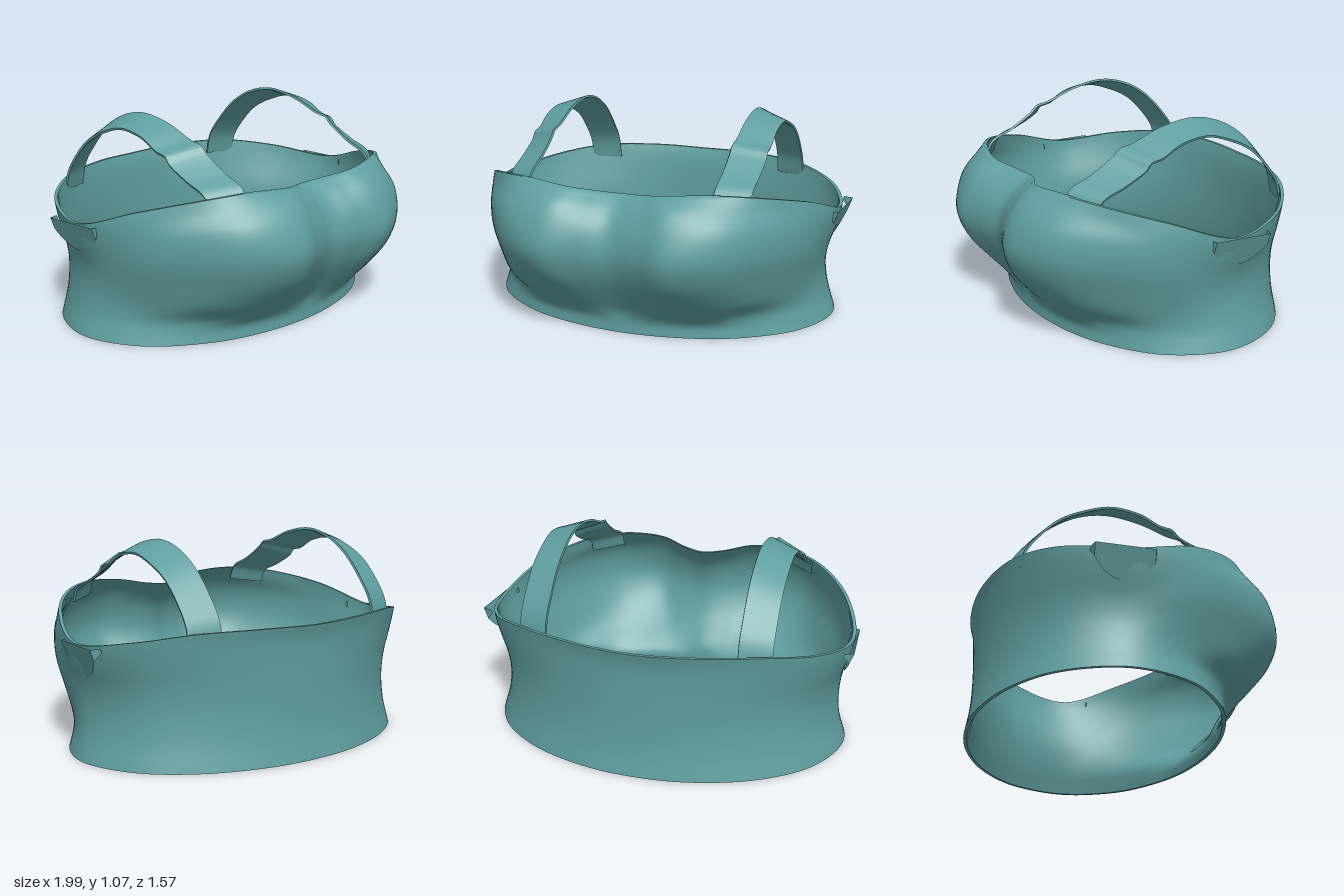
import * as THREE from 'three';
import { toCreasedNormals } from 'three/addons/utils/BufferGeometryUtils.js';

const V = (x, y, z) => new THREE.Vector3(x, y, z);
const CZ = -0.12; // centre of the plan ellipse

// Skin a grid of points: columns[i][j], optionally closed along i and/or j
function skin(columns, closeI, closeJ, crease = 0.9) {
  const n = columns.length, m = columns[0].length, index = [];
  for (let i = 0; i < (closeI ? n : n - 1); i++) {
    for (let j = 0; j < (closeJ ? m : m - 1); j++) {
      const k = (i + 1) % n, l = (j + 1) % m;
      const a = i * m + j, b = k * m + j, c = k * m + l, d = i * m + l;
      index.push(a, b, c, a, c, d);
    }
  }
  const geo = new THREE.BufferGeometry().setFromPoints(columns.flat());
  geo.setIndex(index);
  return toCreasedNormals(geo, crease);
}

// Stations around half the body (degrees from the front) and the rim height at each
const ANGLES = [0, 10, 20, 35, 50, 70, 90, 110, 130, 155, 180];
const RIM = [0.735, 0.745, 0.77, 0.785, 0.765, 0.7, 0.603, 0.64, 0.683, 0.69, 0.685];

// Levels: [fraction of rim height, back scale, radii at the stations from front to side]
const LEVELS = [
  [0, 1.0, [0.66, 0.665, 0.68, 0.725, 0.79, 0.895, 0.95]],
  [0.08, 0.985, [0.66, 0.665, 0.68, 0.725, 0.785, 0.88, 0.935]],
  [0.16, 0.972, [0.67, 0.69, 0.72, 0.775, 0.8, 0.87, 0.92]],
  [0.28, 0.96, [0.72, 0.75, 0.81, 0.86, 0.87, 0.88, 0.905]],
  [0.45, 0.955, [0.79, 0.83, 0.92, 0.945, 0.92, 0.91, 0.897]],
  [0.62, 0.958, [0.82, 0.87, 0.965, 0.985, 0.955, 0.94, 0.91]],
  [0.8, 0.965, [0.79, 0.845, 0.93, 0.965, 0.95, 0.95, 0.945]],
  [0.92, 0.978, [0.72, 0.775, 0.87, 0.9, 0.91, 0.945, 0.965]],
  [1, 1.0, [0.64, 0.68, 0.775, 0.84, 0.89, 0.935, 0.972]],
];

// One closed horizontal section through the bodice
function sectionCurve([t, back, radii]) {
  const half = ANGLES.map((deg, i) => {
    const a = THREE.MathUtils.degToRad(deg), s = Math.sin(a), c = Math.cos(a);
    let r = radii[i];
    if (r === undefined) {
      const scale = THREE.MathUtils.lerp(radii[6] / 0.95, back, c * c);
      r = scale / Math.hypot(s / 0.95, c / 0.66);
    }
    return V(r * s, 0.01 + t * (RIM[i] - 0.01), CZ + r * c);
  });
  const other = half.slice(1, -1).reverse().map((p) => V(-p.x, p.y, p.z));
  return new THREE.CatmullRomCurve3([...half, ...other], true);
}

// Thin-walled bodice: outer wall up, over the rim, inner wall down
function bodiceGeometry() {
  const curves = LEVELS.map(sectionCurve), columns = [], around = 160, wall = 0.018;
  for (let i = 0; i < around; i++) {
    const column = new THREE.CatmullRomCurve3(curves.map((c) => c.getPoint(i / around)));
    const outer = Array.from({ length: 33 }, (_, j) => column.getPoint(j / 32));
    const inner = outer.map((p) => {
      const k = 1 - wall / Math.hypot(p.x, p.z - CZ);
      return V(p.x * k, p.y, CZ + (p.z - CZ) * k);
    }).reverse();
    columns.push([...outer, ...inner]);
  }
  return skin(columns, true, true);
}

// Strap edges as [z, y]: the inner edge runs higher than the outer one
const STRAP_INNER = [[0.56, 0.72], [0.52, 0.8], [0.4, 0.86], [0.285, 0.935], [0.25, 0.968], [0.18, 0.985],
  [0.03, 1.045], [-0.15, 1.075], [-0.3, 1.045], [-0.44, 0.965], [-0.56, 0.84], [-0.63, 0.74], [-0.66, 0.62]];
const STRAP_OUTER = [[0.46, 0.7], [0.42, 0.775], [0.31, 0.825], [0.19, 0.89], [0.16, 0.925], [0.1, 0.94],
  [0, 0.995], [-0.15, 1.02], [-0.28, 0.985], [-0.41, 0.92], [-0.52, 0.81], [-0.58, 0.72], [-0.605, 0.62]];

function strapGeometry(side) {
  const edge = (pts, x) => new THREE.CatmullRomCurve3(pts.map(([z, y]) => V(x, y, z)));
  const a = edge(STRAP_INNER, 0.49), b = edge(STRAP_OUTER, 0.648), rings = [];
  for (let i = 0; i <= 72; i++) {
    const p = a.getPoint(i / 72), q = b.getPoint(i / 72);
    // Thickness goes towards the inside of the arch
    const drop = a.getTangent(i / 72).cross(q.clone().sub(p)).normalize().multiplyScalar(0.012);
    if (drop.y > 0) drop.negate();
    const ring = [p, q, q.clone().add(drop), p.clone().add(drop)];
    ring.forEach((v) => { v.x *= side; });
    rings.push(ring);
  }
  return skin(rings, false, true);
}

// Underarm flap: a lobe standing off the side, its two ends tucked into the wall
function flapGeometry(side) {
  const columns = [], n = 24;
  for (let i = 0; i <= n; i++) {
    const u = i / n, z = 0.01 - 0.32 * u;
    const depth = 0.02 + 0.135 * Math.pow(Math.sin(Math.PI * u), 0.6);
    const tuck = i === 0 || i === n ? 0.05 : 0;
    const column = [];
    for (let j = 0; j <= 8; j++) {
      const y = 0.603 - depth * (1 - j / 8);
      const x = 0.938 + 0.057 * (y - 0.448) / 0.155 - 0.015 * (1 - u) - tuck;
      column.push(V(side * x, y, z));
    }
    columns.push(column);
  }
  return skin(columns, false, false);
}

export function createModel() {
  const group = new THREE.Group();
  group.name = 'strappedTop';
  const fabric = new THREE.MeshStandardMaterial({ color: 0x5f9ea0, side: THREE.DoubleSide });
  const add = (name, geometry) => {
    const mesh = new THREE.Mesh(geometry, fabric);
    mesh.name = name;
    group.add(mesh);
  };
  add('bodice', bodiceGeometry());
  for (const [label, side] of [['left', 1], ['right', -1]]) {
    add(label + 'Strap', strapGeometry(side));
    add(label + 'UnderarmFlap', flapGeometry(side));
  }
  return group;
}
